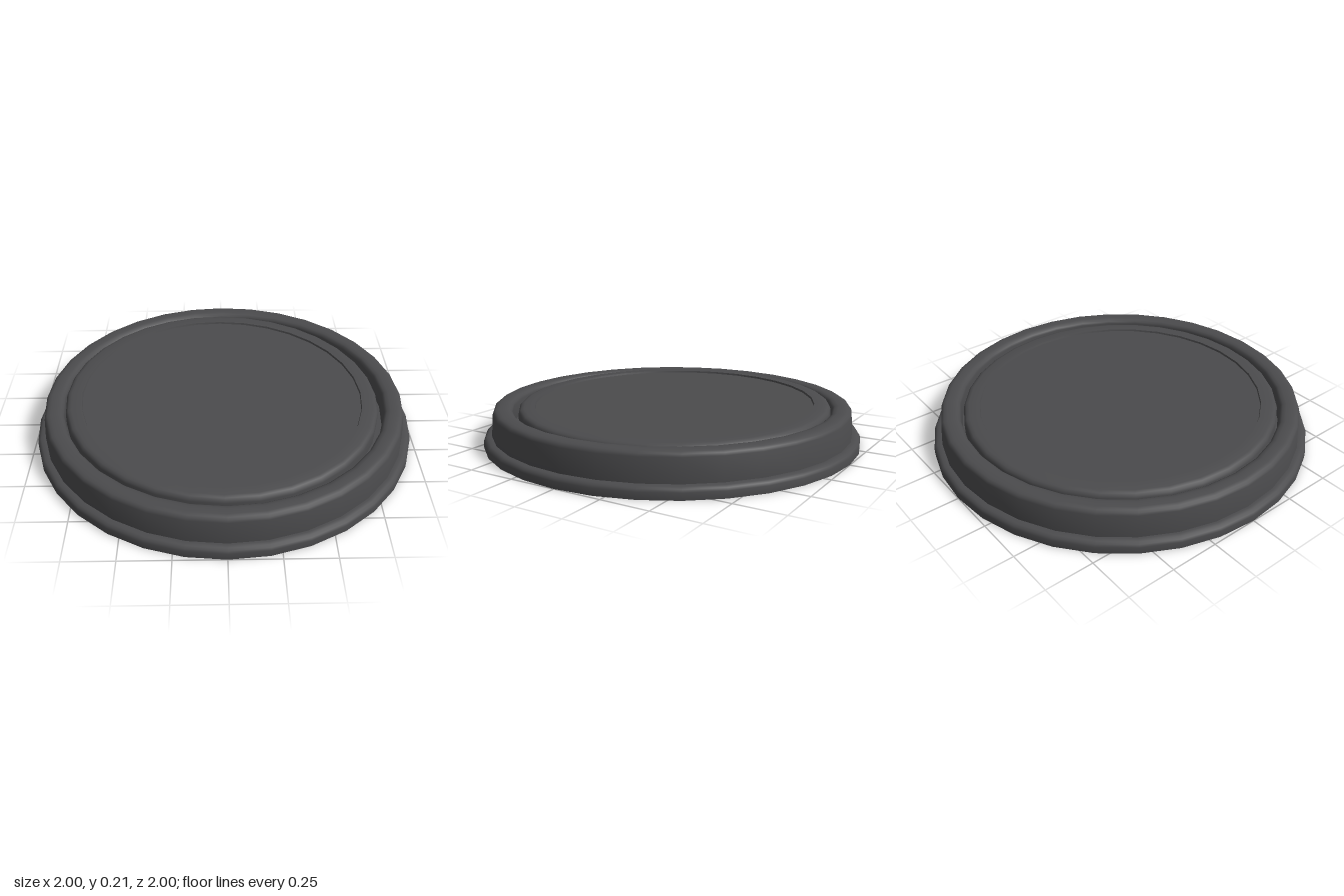
import * as THREE from 'three';
import { toCreasedNormals } from 'three/addons/utils/BufferGeometryUtils.js';

const SEGMENTS = 32;

// Revolve a [radius, y] profile, keeping sharp edges sharp
function turned(name, profile, material) {
  const points = profile.map(([r, y]) => new THREE.Vector2(r, y));
  const geometry = toCreasedNormals(new THREE.LatheGeometry(points, SEGMENTS), 0.65);
  const mesh = new THREE.Mesh(geometry, material);
  mesh.name = name;
  return mesh;
}

export function createModel() {
  const group = new THREE.Group();
  group.name = 'roundButton';
  const material = new THREE.MeshStandardMaterial({ color: 0x4b4b4d });

  // Housing: flat underside, flange, wall, rounded rim and groove floor
  group.add(turned('housing', [
    [0, 0], [1, 0],
    [1, 0.035], [0.994, 0.048], [0.982, 0.056], [0.965, 0.058],
    [0.957, 0.058],
    [0.948, 0.175], [0.943, 0.188], [0.932, 0.196], [0.915, 0.2],
    [0.88, 0.2], [0.862, 0.196], [0.851, 0.187], [0.847, 0.175],
    [0.845, 0.1], [0, 0.1],
  ], material));

  // Cap: rounded lip around a slightly sunken face, tipped up on one side
  const cap = turned('cap', [
    [0, -0.1], [0.83, -0.1],
    [0.83, -0.027], [0.826, -0.014], [0.816, -0.005], [0.8, 0],
    [0.745, 0],
    [0.742, -0.01], [0, -0.01],
  ], material);
  cap.position.set(-0.01, 0.201, -0.007);
  cap.rotation.z = -0.012;
  group.add(cap);

  return group;
}
